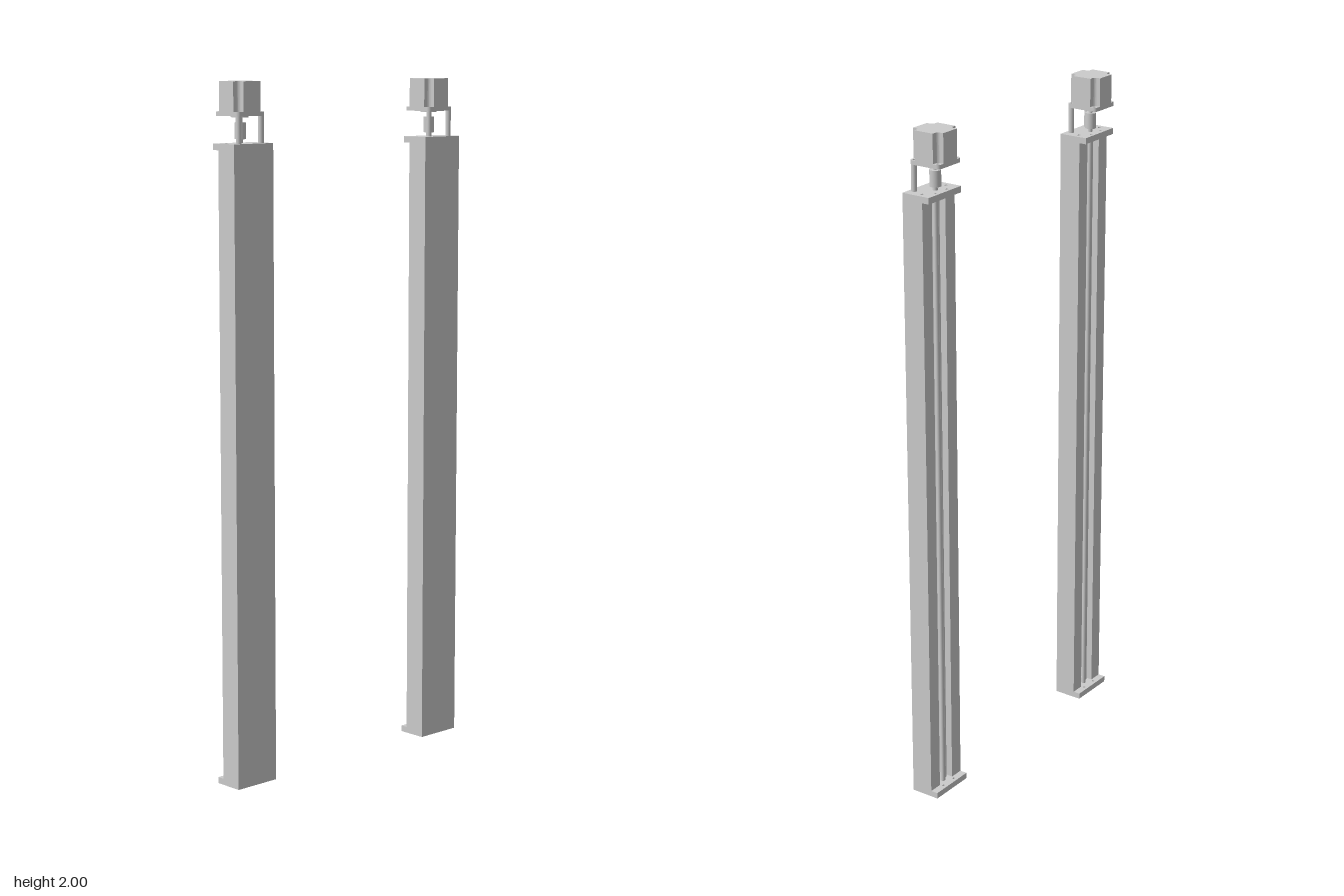
import * as THREE from 'three';

const mat = new THREE.MeshStandardMaterial({ color: 0xcccccc, side: THREE.DoubleSide });

function add(parent, name, geometry, x, y, z) {
  const mesh = new THREE.Mesh(geometry, mat);
  mesh.name = name;
  mesh.position.set(x, y, z);
  parent.add(mesh);
  return mesh;
}

const rod = (r, h, n = 20) => new THREE.CylinderGeometry(r, r, h, n);

// Plan outline (x, -z) raised along y
function raise(shape, height) {
  const g = new THREE.ExtrudeGeometry(shape, { depth: height, bevelEnabled: false, curveSegments: 10 });
  return g.rotateX(-Math.PI / 2);
}

function outline(points) {
  return new THREE.Shape(points.map(([x, z]) => new THREE.Vector2(x, -z)));
}

function hole(shape, x, z, r) {
  const p = new THREE.Path();
  p.absarc(x, -z, r, 0, Math.PI * 2, true);
  shape.holes.push(p);
}

// End plate, with fixing holes, overhanging the open back
function endPlate() {
  const s = outline([[-0.072, 0.052], [0.072, 0.052], [0.072, -0.036], [-0.072, -0.036]]);
  for (const x of [-0.053, 0.053]) hole(s, x, 0, 0.005);
  for (const x of [-0.025, 0.025]) hole(s, x, -0.024, 0.004);
  return raise(s, 0.018);
}

// Channel section, open at the back
function channel() {
  return raise(outline([
    [-0.072, 0.052], [0.072, 0.052], [0.072, -0.014], [0.03, -0.014],
    [0.03, 0.032], [-0.03, 0.032], [-0.03, -0.014], [-0.072, -0.014],
  ]), 1.794);
}

// Motor flange with rounded corners and screw holes
function motorFlange() {
  const h = 0.05, r = 0.01, k = h - r;
  const s = new THREE.Shape();
  s.absarc(k, k, r, 0, Math.PI / 2);
  s.absarc(-k, k, r, Math.PI / 2, Math.PI);
  s.absarc(-k, -k, r, Math.PI, Math.PI * 1.5);
  s.absarc(k, -k, r, Math.PI * 1.5, Math.PI * 2);
  s.closePath();
  for (const x of [-k, k]) for (const z of [-k, k]) hole(s, x, z, 0.005);
  return raise(s, 0.012);
}

// Motor case with a concave groove down each corner
function motorCase() {
  const h = 0.05, c = 0.04, r = 0.01;
  const s = new THREE.Shape();
  for (let i = 0; i < 4; i++) {
    const a = i * Math.PI / 2, cos = Math.cos(a), sin = Math.sin(a);
    const pts = [[h, c - r]];
    for (let j = 0; j <= 8; j++) {
      const t = -Math.PI / 2 - j * Math.PI / 16;
      pts.push([c + r * Math.cos(t), c + r * Math.sin(t)]);
    }
    pts.push([c - r, h]);
    pts.forEach(([x, y], j) => {
      const px = x * cos - y * sin, py = x * sin + y * cos;
      if (i === 0 && j === 0) s.moveTo(px, py); else s.lineTo(px, py);
    });
  }
  s.closePath();
  return raise(s, 0.083);
}

function actuator() {
  const g = new THREE.Group();
  g.name = 'linearActuator';
  add(g, 'channelBody', channel(), 0, 0.018, 0);
  add(g, 'bottomPlate', endPlate(), 0, 0, 0);
  add(g, 'topPlate', endPlate(), 0, 1.812, 0);

  // Lead screw and guide rods inside the channel
  add(g, 'leadScrew', rod(0.007, 1.84), 0, 0.925, -0.003);
  for (const x of [-0.02, 0.02]) add(g, 'guideRod', rod(0.005, 1.8), x, 0.915, 0.005);

  // Coupling between screw and motor shaft
  add(g, 'coupling', rod(0.016, 0.046, 28), 0, 1.864, -0.004);
  add(g, 'motorShaft', rod(0.006, 0.08), 0, 1.87, -0.004);

  // Standoffs carrying the motor
  for (const x of [-0.041, 0.041]) add(g, 'standoff', rod(0.008, 0.076), x, 1.867, 0.036);

  // Motor
  const motor = new THREE.Group();
  motor.name = 'motor';
  motor.position.set(0, 1.905, -0.005);
  add(motor, 'motorFlange', motorFlange(), 0, 0, 0);
  add(motor, 'motorCase', motorCase(), 0, 0.012, 0);
  add(motor, 'motorBoss', rod(0.024, 0.004, 32), 0, -0.002, 0);
  g.add(motor);
  return g;
}

export function createModel() {
  const model = new THREE.Group();
  model.name = 'actuatorPair';
  for (const side of [-1, 1]) {
    const a = actuator();
    a.name = side > 0 ? 'leftActuator' : 'rightActuator';
    a.position.x = side * 0.374;
    model.add(a);
  }
  return model;
}
